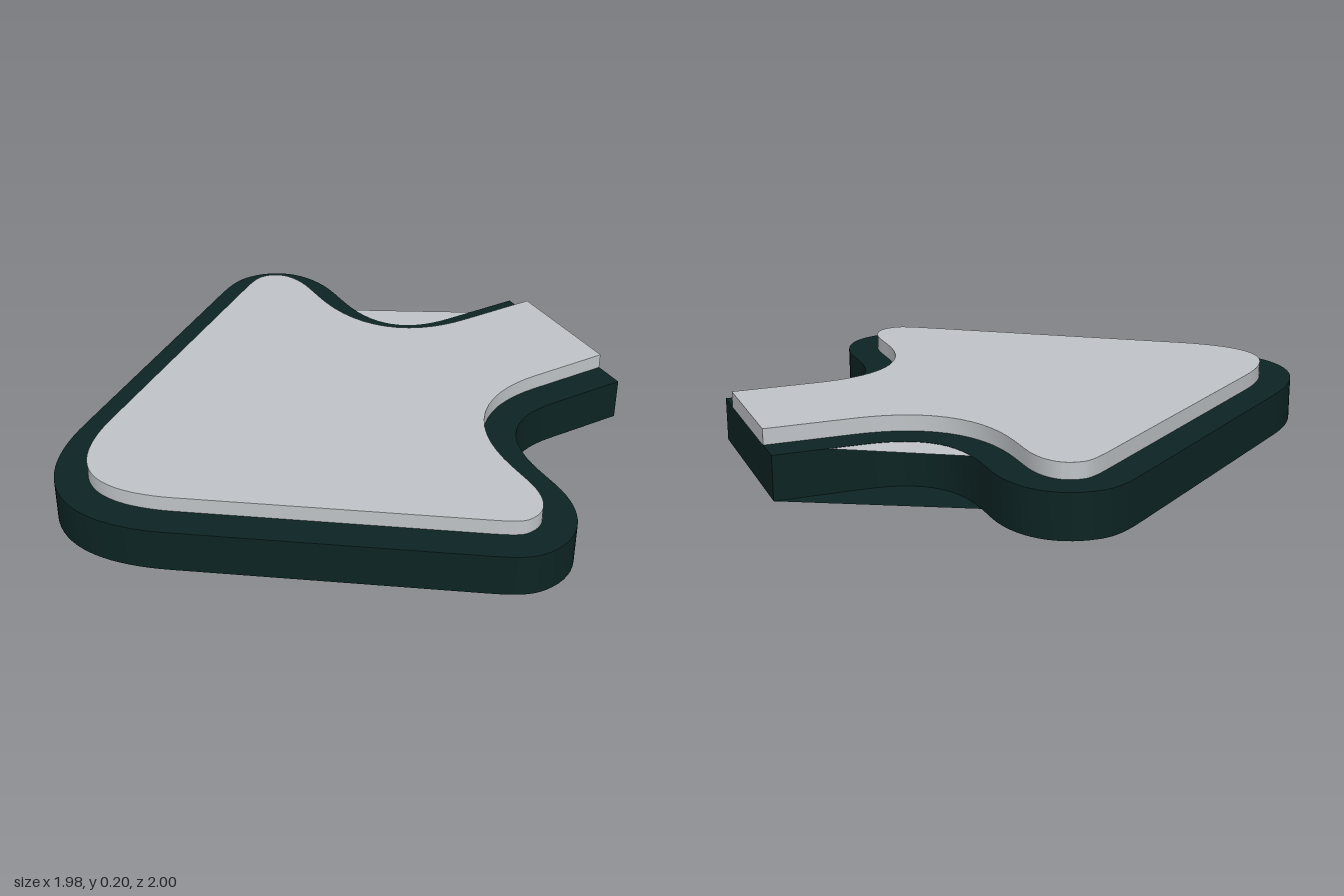
import * as THREE from 'three';
import { toCreasedNormals } from 'three/addons/utils/BufferGeometryUtils.js';

const dark = new THREE.MeshStandardMaterial({ name: 'dark green', color: 0x0d2424, side: THREE.DoubleSide });
const light = new THREE.MeshStandardMaterial({ name: 'light grey', color: 0xc0c4c8, side: THREE.DoubleSide });

const END = 0.988, BASE_TOP = 0.147, PANEL_TOP = 0.2, BORDER = 0.11;

// Half of the arrow outline, from the nose round the wing to the tail.
function halfOutline() {
  const p = new THREE.Path();
  p.moveTo(-END, 0);
  p.bezierCurveTo(-END, 0.13, -0.9, 0.245, -0.77, 0.34);
  p.lineTo(0.02, 0.915);
  p.bezierCurveTo(0.09, 0.966, 0.14, 1, 0.2, 1);
  p.bezierCurveTo(0.33, 1, 0.425, 0.9, 0.425, 0.72);
  p.lineTo(0.425, 0.64);
  p.bezierCurveTo(0.425, 0.42, 0.53, 0.335, 0.7, 0.335);
  p.lineTo(END, 0.335);
  return p.getPoints(14);
}

// Moves the outline inward, keeping the tail end flush.
function inset(points, d) {
  return points.map((p, i) => {
    if (i === 0) return new THREE.Vector2(p.x + d, 0);
    const a = points[i - 1], b = points[Math.min(i + 1, points.length - 1)];
    const t = b.clone().sub(a).normalize();
    return new THREE.Vector2(Math.min(p.x + t.y * d, END), p.y - t.x * d);
  });
}

function plate(name, half, bottom, top, material) {
  const mirrored = half.slice(1).reverse().map(p => new THREE.Vector2(p.x, -p.y));
  const geo = new THREE.ExtrudeGeometry(new THREE.Shape([...half, ...mirrored]),
    { depth: top - bottom, bevelEnabled: false });
  geo.rotateX(-Math.PI / 2).translate(0, bottom, 0);
  const mesh = new THREE.Mesh(toCreasedNormals(geo, 0.6), material);
  mesh.name = name;
  return mesh;
}

// Flat sheet closing the rear notch with a straight edge from wing to tail.
function notchWeb(name, half, start, y, material) {
  const geo = new THREE.ShapeGeometry(new THREE.Shape(half.slice(start)));
  geo.rotateX(-Math.PI / 2).translate(0, y, 0);
  const mesh = new THREE.Mesh(geo, material);
  mesh.name = name;
  return mesh;
}

export function createModel() {
  const group = new THREE.Group();
  group.name = 'arrowSign';
  const outer = halfOutline();
  const inner = inset(outer, BORDER);
  const start = outer.findIndex(p => p.x > 0.4 && Math.abs(p.y - 0.64) < 1e-4);

  group.add(
    plate('base', outer, 0, BASE_TOP, dark),
    plate('panel', inner, BASE_TOP, PANEL_TOP, light),
    notchWeb('baseWeb', outer, start, 0, dark),
    notchWeb('panelWeb', inner, start, BASE_TOP - 0.001, light),
  );
  return group;
}
